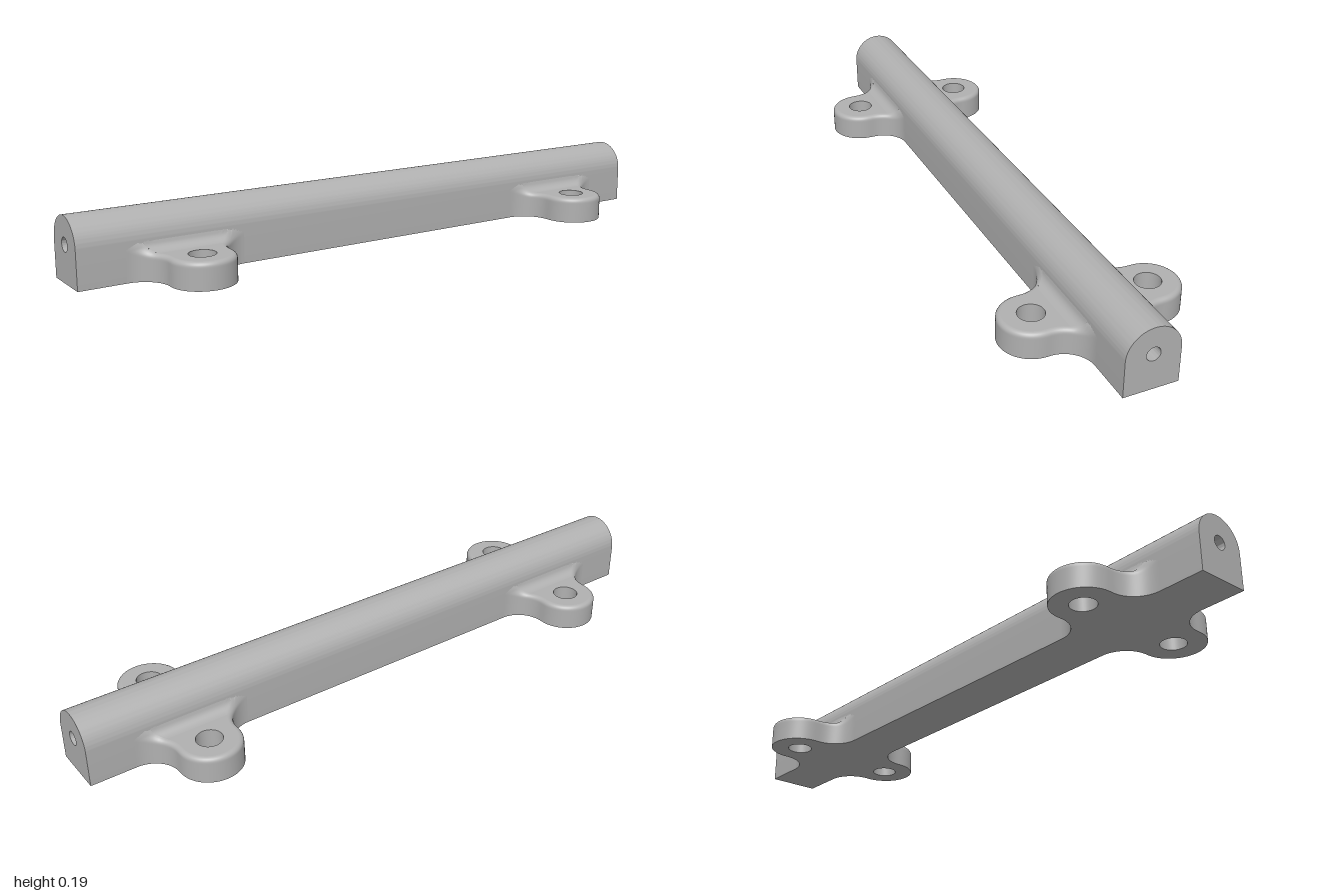
import * as THREE from 'three';
import { toCreasedNormals } from 'three/addons/utils/BufferGeometryUtils.js';

const RAIL = 0.082;       // half width of the rail and radius of its rounded top
const AXIS = 0.112;       // height of the bore
const LUG_R = 0.095, LUG_Z = 0.18, LUG_X = 0.68, LUG_H = 0.08;
const HOLE_R = 0.039;
const FLARE = 0.085;      // plan radius where a lug meets the rail
const ROUND = 0.014;      // rounding of the lug's top edge
const FILLET = 0.032;     // fillet between lug top and rail side

// Smooth surface from a rule f(i, j) -> [x, y, z]
function grid(nu, nv, f) {
  const pos = [], idx = [];
  for (let j = 0; j <= nv; j++) for (let i = 0; i <= nu; i++) pos.push(...f(i, j));
  for (let j = 0; j < nv; j++) for (let i = 0; i < nu; i++) {
    const a = j * (nu + 1) + i, b = a + 1, c = a + nu + 1, d = c + 1;
    idx.push(a, b, d, a, d, c);
  }
  const g = new THREE.BufferGeometry();
  g.setAttribute('position', new THREE.Float32BufferAttribute(pos, 3));
  g.setIndex(idx);
  g.computeVertexNormals();
  return g;
}

// Plan outline of a lug as [x, z] points, inset by d
function outline(d) {
  const pts = [], n = 16;
  const arc = (cx, cz, r, a0, a1, steps) => {
    for (let i = 0; i <= steps; i++) {
      const a = a0 + (a1 - a0) * i / steps;
      pts.push([cx + r * Math.cos(a), cz + r * Math.sin(a)]);
    }
  };
  arc(-LUG_R - FLARE, RAIL + FLARE, FLARE + d, -Math.PI / 2, 0, n);
  arc(0, LUG_Z, LUG_R - d, Math.PI, 0, n * 2);
  arc(LUG_R + FLARE, RAIL + FLARE, FLARE + d, Math.PI, Math.PI * 1.5, n);
  return pts;
}

// Height of the fillet above the lug top at depth z
function filletHeight(z) {
  const t = THREE.MathUtils.clamp(RAIL + FILLET - z, 0, FILLET);
  return FILLET - Math.sqrt(FILLET * FILLET - t * t);
}

// Flat lug face with its screw hole; sign 1 faces down, -1 faces up
function lugFace(d, y, sign) {
  const shape = new THREE.Shape(outline(d).map(([x, z]) => new THREE.Vector2(x, z * sign)));
  const hole = new THREE.Path();
  hole.absarc(0, LUG_Z * sign, HOLE_R, 0, Math.PI * 2, false);
  shape.holes.push(hole);
  return new THREE.ShapeGeometry(shape, 20).rotateX(sign * Math.PI / 2).translate(0, y, 0);
}

function createLug(material) {
  const lug = new THREE.Group();
  const add = (name, geometry) => {
    const mesh = new THREE.Mesh(geometry, material);
    mesh.name = name;
    lug.add(mesh);
  };

  // Side wall running into the rounded top edge
  const rows = [[0, 0], [0, LUG_H - ROUND - 0.004]];
  for (let i = 0; i <= 6; i++) {
    const a = i / 6 * Math.PI / 2;
    rows.push([ROUND * (1 - Math.cos(a)), LUG_H - ROUND + ROUND * Math.sin(a)]);
  }
  const loops = rows.map(([d]) => outline(d));
  add('lugWall', grid(loops[0].length - 1, rows.length - 1, (i, j) => {
    const [x, z] = loops[j][i], y = rows[j][1];
    return [x, y + filletHeight(z) * y / LUG_H, z];
  }));

  add('lugTop', lugFace(ROUND, LUG_H, -1));
  add('lugBottom', lugFace(0, 0, 1));

  // Fillet strip, cut off by the flared edges of the lug
  const reach = LUG_R + FLARE;
  add('lugFillet', grid(72, 8, (i, j) => {
    const x = -reach + 2 * reach * i / 72;
    let edge = RAIL + FILLET;
    if (Math.abs(x) > LUG_R - ROUND) {
      const dx = reach - Math.abs(x);
      const z = RAIL + FLARE - Math.sqrt(Math.max(0, (FLARE + ROUND) ** 2 - dx * dx));
      edge = THREE.MathUtils.clamp(z, RAIL - 0.001, edge);
    }
    const t = Math.sin(j / 8 * Math.PI / 2);
    const z = edge + (RAIL - 0.001 - edge) * t;
    return [x, LUG_H + filletHeight(z), z];
  }));

  // Screw hole lining
  add('screwHole', new THREE.CylinderGeometry(HOLE_R, HOLE_R, LUG_H, 40, 1, true)
    .translate(0, LUG_H / 2, LUG_Z));
  return lug;
}

export function createModel() {
  const model = new THREE.Group();
  model.name = 'mountingRail';
  const grey = new THREE.MeshStandardMaterial({ color: 0xb0b0b0, side: THREE.DoubleSide });
  grey.name = 'plainGrey';

  // Rail with arched top and a bore along its whole length
  const profile = new THREE.Shape();
  profile.moveTo(-RAIL, 0);
  profile.lineTo(RAIL, 0);
  profile.lineTo(RAIL, AXIS);
  profile.absarc(0, AXIS, RAIL, 0, Math.PI, false);
  profile.lineTo(-RAIL, 0);
  const bore = new THREE.Path();
  bore.absarc(0, AXIS, 0.021, 0, Math.PI * 2, true);
  profile.holes.push(bore);
  const railGeometry = new THREE.ExtrudeGeometry(profile, { depth: 2, bevelEnabled: false, curveSegments: 32 });
  railGeometry.translate(0, 0, -1).rotateY(Math.PI / 2);
  const rail = new THREE.Mesh(toCreasedNormals(railGeometry, 0.6), grey);
  rail.name = 'rail';
  model.add(rail);

  // Four screw lugs, in pairs near both ends
  for (const side of [1, -1]) for (const front of [true, false]) {
    const lug = createLug(grey);
    lug.name = (front ? 'front' : 'back') + (side > 0 ? 'Left' : 'Right') + 'Lug';
    lug.position.x = side * LUG_X;
    if (!front) lug.rotation.y = Math.PI;
    model.add(lug);
  }
  return model;
}
